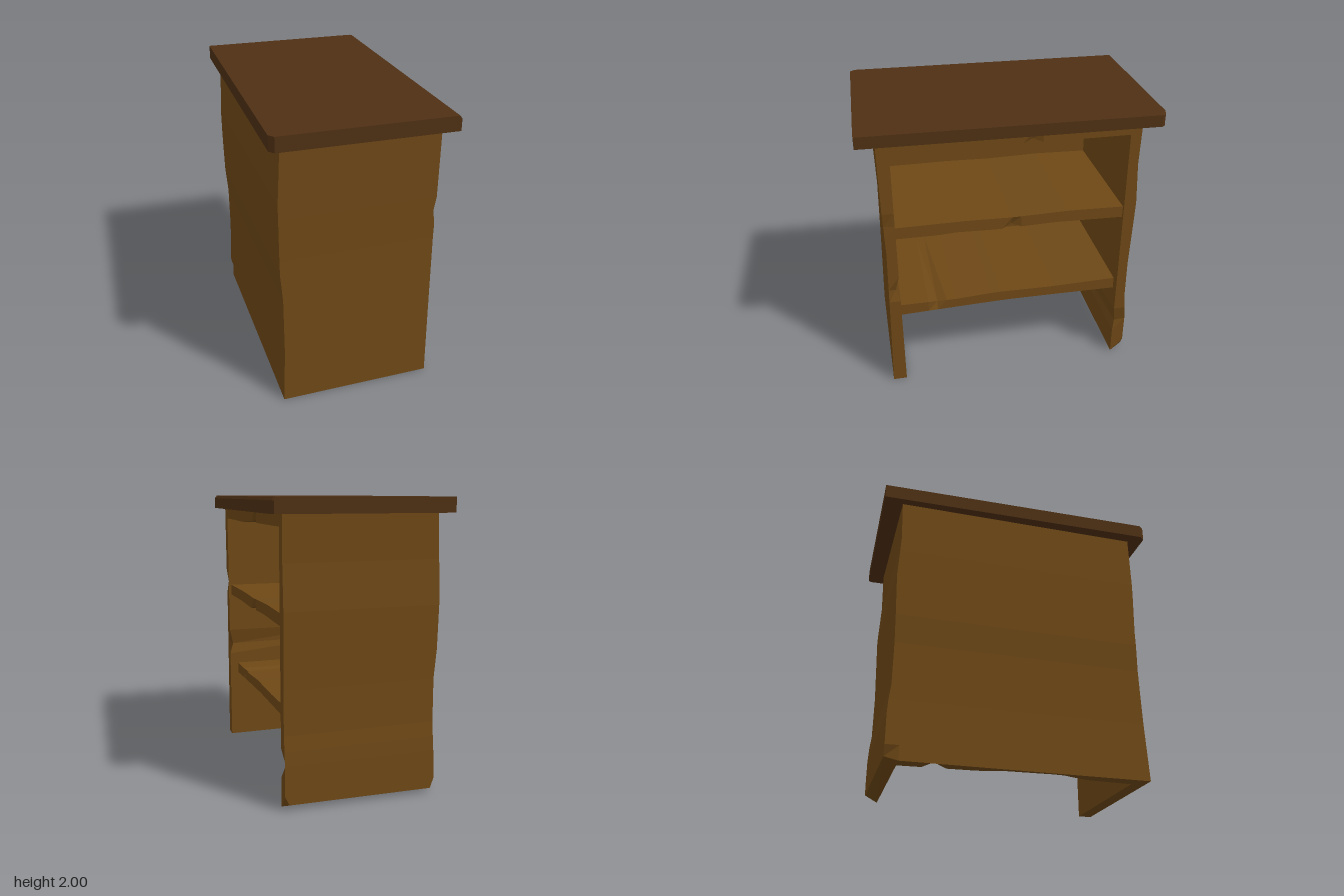
import * as THREE from 'three';

const body = new THREE.MeshStandardMaterial({ color: 0x6e4816, flatShading: true });
const dark = new THREE.MeshStandardMaterial({ color: 0x4f3014, flatShading: true });

// Piecewise linear profile through [t, value] pairs
const profile = pts => t => {
  let i = 1;
  while (i < pts.length - 1 && pts[i][0] < t) i++;
  const [a, va] = pts[i - 1], [b, vb] = pts[i];
  return va + (vb - va) * THREE.MathUtils.clamp((t - a) / (b - a), 0, 1);
};

// Uneven outer faces of the carcass, by height
const backX = profile([[0, -0.54], [0.4, -0.525], [0.8, -0.525], [1, -0.54], [1.5, -0.545], [1.9, -0.525]]);
const plusZ = profile([[0, 0.885], [0.6, 0.87], [1.1, 0.86], [1.4, 0.868], [1.9, 0.873]]);
const minusZ = profile([[0, -0.88], [0.35, -0.88], [0.5, -0.862], [0.8, -0.86], [1.3, -0.876], [1.6, -0.86], [1.9, -0.867]]);

// Hand-cut board: box from min to max, bent by a rule, with small chips
// chip = [x, y, z, dx, dy, dz]: moves the vertex nearest to x, y, z
function board(name, min, max, segs, warp, chips = []) {
  const s = max.map((m, i) => m - min[i]);
  const geo = new THREE.BoxGeometry(...s, ...segs);
  geo.translate(...min.map((m, i) => m + s[i] / 2));
  const p = geo.attributes.position, v = new THREE.Vector3();
  const each = fn => {
    for (let i = 0; i < p.count; i++) {
      v.fromBufferAttribute(p, i);
      fn(v);
      p.setXYZ(i, v.x, v.y, v.z);
    }
  };
  each(warp);
  for (const [x, y, z, ...d] of chips) {
    const at = new THREE.Vector3(x, y, z), hit = new THREE.Vector3();
    let best = Infinity;
    each(q => { if (q.distanceTo(at) < best) { best = q.distanceTo(at); hit.copy(q); } });
    const move = new THREE.Vector3(...d);
    each(q => { if (q.distanceTo(hit) < 1e-4) q.add(move); });
  }
  geo.computeVertexNormals();
  const mesh = new THREE.Mesh(geo, body);
  mesh.name = name;
  return mesh;
}

// Bends the outer faces of the carcass
const bend = v => {
  const y = v.y;
  if (v.x < -0.52) v.x = backX(y);
  if (v.z > 0.86) v.z = plusZ(y);
  if (v.z < -0.86) v.z = minusZ(y);
};

// Shelf whose upper and lower faces follow gentle waves along z
function shelf(name, x1, topY, lowY, chips) {
  const mid = (topY(0) + lowY(0)) / 2;
  return board(name, [-0.45, mid - 0.04, -0.79], [x1, mid + 0.04, 0.79], [1, 1, 24],
    v => { v.y = v.y > mid ? topY(v.z) : lowY(v.z); }, chips);
}

export function createModel() {
  const group = new THREE.Group();

  // Side panels
  group.add(board('leftEndPanel', [-0.53, 0, 0.79], [0.52, 1.9, 0.87], [1, 19, 1], bend, [
    [0.52, 0.8, 0.79, -0.03, -0.02, 0.025],
    [0.52, 1.3, 0.86, -0.015, 0, 0]]));
  group.add(board('rightEndPanel', [-0.53, 0, -0.87], [0.52, 1.9, -0.79], [1, 19, 1], bend, [
    [0.52, 0.3, -0.79, -0.03, -0.03, -0.02],
    [0.52, 0, -0.88, -0.03, 0.04, 0],
    [-0.53, 0, -0.88, 0.03, 0.03, 0]]));

  // Closed back panel with a worn lower edge
  const worn = profile([[-0.79, 0], [-0.25, 0.008], [-0.1, 0.02], [0.3, 0.025], [0.45, 0.005], [0.79, 0]]);
  group.add(board('backPanel', [-0.53, 0, -0.79], [-0.44, 1.9, 0.79], [1, 19, 20], v => {
    bend(v);
    if (v.y < 0.01 && v.x > -0.5) v.y = worn(v.z);
  }, [[-0.44, 0, -0.553, -0.03, 0.03, 0]]));

  // Top rail and shelves
  const flat = y => () => y;
  group.add(shelf('topBoard', 0.52, flat(1.9),
    profile([[-0.79, 1.82], [-0.3, 1.82], [0, 1.825], [0.2, 1.812], [0.5, 1.818], [0.79, 1.82]]),
    [[0.52, 1.82, -0.13, -0.03, 0.018, 0]]));
  group.add(shelf('upperShelf', 0.5,
    profile([[-0.79, 1.27], [-0.4, 1.28], [0, 1.272], [0.3, 1.28], [0.79, 1.278]]),
    profile([[-0.79, 1.187], [-0.3, 1.2], [0.1, 1.19], [0.4, 1.2], [0.79, 1.197]]),
    [[0.5, 1.19, 0, -0.025, 0.02, 0]]));
  group.add(shelf('lowerShelf', 0.455,
    profile([[-0.79, 0.637], [-0.3, 0.627], [0.1, 0.633], [0.4, 0.615], [0.79, 0.617]]),
    profile([[-0.79, 0.55], [-0.4, 0.555], [0, 0.558], [0.3, 0.55], [0.79, 0.533]]),
    [[0.455, 0.62, 0.53, -0.03, -0.02, 0]]));

  // Overhanging tabletop, slightly askew, with clipped corners and a worn edge
  const a = 0.595, b = 0.99;
  const outline = new THREE.Shape([
    [-a + 0.03, -b], [a, -b], [a, b - 0.02], [a - 0.012, b], [-a, b], [-a, -b + 0.035],
  ].map(q => new THREE.Vector2(...q)));
  const topGeo = new THREE.ExtrudeGeometry(outline, { depth: 0.1, steps: 5, bevelEnabled: false });
  const p = topGeo.attributes.position;
  for (let i = 0; i < p.count; i++) {
    if (p.getZ(i) > 0.09 && p.getX(i) > 0.5) p.setX(i, p.getX(i) - 0.015);
  }
  topGeo.rotateX(-Math.PI / 2);
  topGeo.computeVertexNormals();
  const top = new THREE.Mesh(topGeo, dark);
  top.name = 'tabletop';
  top.position.y = 1.9;
  top.rotation.y = -0.016;
  group.add(top);

  return group;
}
